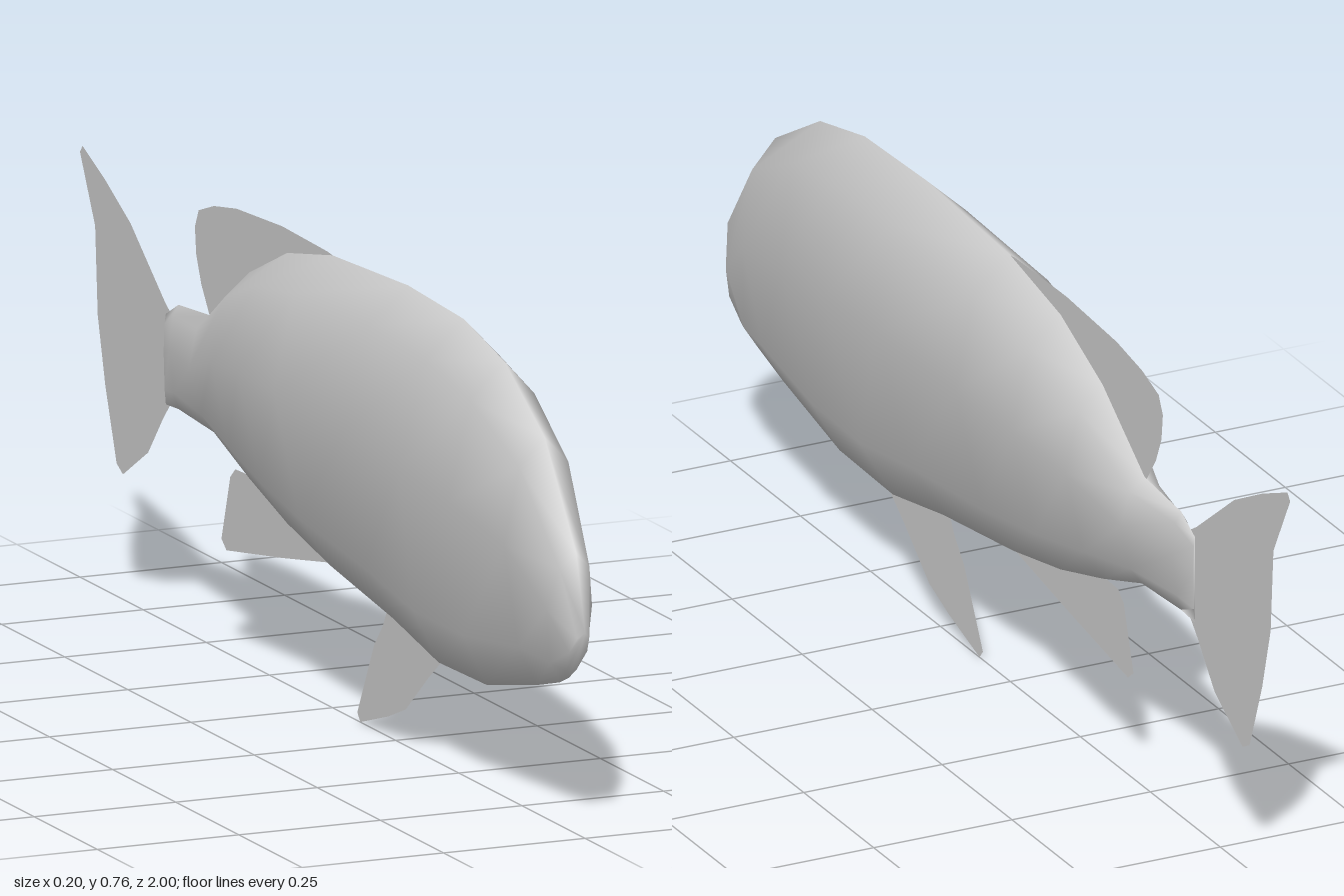
import * as THREE from 'three';

const skin = new THREE.MeshStandardMaterial({ color: 0xcccccc, side: THREE.DoubleSide });
skin.name = 'grey skin';

// Body sections, nose to tail: top z, top y, bottom z, bottom y, half width
const SECTIONS = [
  [1.0, 0.34, 0.935, 0.252, 0.016],
  [0.965, 0.465, 0.9, 0.237, 0.04],
  [0.84, 0.63, 0.81, 0.213, 0.066],
  [0.68, 0.722, 0.61, 0.17, 0.086],
  [0.52, 0.757, 0.42, 0.166, 0.097],
  [0.3, 0.765, 0.24, 0.2, 0.102],
  [0.0, 0.75, -0.01, 0.234, 0.102],
  [-0.18, 0.715, -0.18, 0.267, 0.088],
  [-0.33, 0.65, -0.33, 0.309, 0.067],
  [-0.48, 0.546, -0.47, 0.355, 0.041],
  [-0.61, 0.536, -0.61, 0.363, 0.016],
  [-0.66, 0.51, -0.66, 0.36, 0.004],
];

// Eight-sided ring: fraction of half width, fraction of height
const RING = [[0, 1], [0.66, 0.89], [1, 0.58], [0.54, 0.16], [0, 0], [-0.54, 0.16], [-1, 0.58], [-0.66, 0.89]];

function bodyGeometry() {
  const pos = [], index = [], n = RING.length;
  for (const [zt, yt, zb, yb, w] of SECTIONS) {
    for (const [u, v] of RING) pos.push(u * w, yb + (yt - yb) * v, zb + (zt - zb) * v);
  }
  for (let i = 0; i < SECTIONS.length - 1; i++) {
    for (let j = 0; j < n; j++) {
      const a = i * n + j, b = i * n + (j + 1) % n;
      index.push(a, b, a + n, b, b + n, a + n);
    }
  }
  // Close the mouth and the tail root
  const last = (SECTIONS.length - 1) * n;
  for (let j = 1; j < n - 1; j++) {
    index.push(0, j + 1, j, last, last + j, last + j + 1);
  }
  const g = new THREE.BufferGeometry();
  g.setAttribute('position', new THREE.Float32BufferAttribute(pos, 3));
  g.setIndex(index);
  g.computeVertexNormals();
  return g;
}

// Flat fin outlines as [z, y] in the middle plane
const FINS = {
  dorsalFin: [[0.05, 0.745], [-0.02, 0.752], [-0.2, 0.755], [-0.38, 0.745], [-0.47, 0.73], [-0.53, 0.71],
    [-0.545, 0.68], [-0.54, 0.635], [-0.52, 0.59], [-0.487, 0.545], [-0.45, 0.54], [-0.3, 0.63], [-0.1, 0.7]],
  tailFin: [[-0.64, 0.515], [-0.665, 0.53], [-0.8, 0.63], [-0.9, 0.68], [-0.99, 0.717], [-1, 0.705], [-0.94, 0.595],
    [-0.93, 0.45], [-0.9, 0.34], [-0.855, 0.22], [-0.83, 0.207], [-0.73, 0.265], [-0.67, 0.335], [-0.64, 0.365]],
  pelvicFin: [[0.44, 0.175], [0.38, 0.132], [0.29, 0.06], [0.22, 0.033], [0.11, 0], [0.098, 0.014],
    [0.165, 0.14], [0.2, 0.18], [0.22, 0.215], [0.35, 0.2]],
  analFin: [[0.0, 0.24], [-0.2, 0.205], [-0.42, 0.17], [-0.44, 0.185], [-0.405, 0.295], [-0.385, 0.312],
    [-0.3, 0.315], [-0.15, 0.275]],
};

function finGeometry(points) {
  const shape = new THREE.Shape(points.map(([z, y]) => new THREE.Vector2(z, y)));
  return new THREE.ShapeGeometry(shape).rotateY(-Math.PI / 2);
}

export function createModel() {
  const fish = new THREE.Group();
  fish.name = 'fish';
  const add = (name, geometry) => {
    const mesh = new THREE.Mesh(geometry, skin);
    mesh.name = name;
    fish.add(mesh);
  };
  add('body', bodyGeometry());
  for (const [name, points] of Object.entries(FINS)) add(name, finGeometry(points));
  return fish;
}
